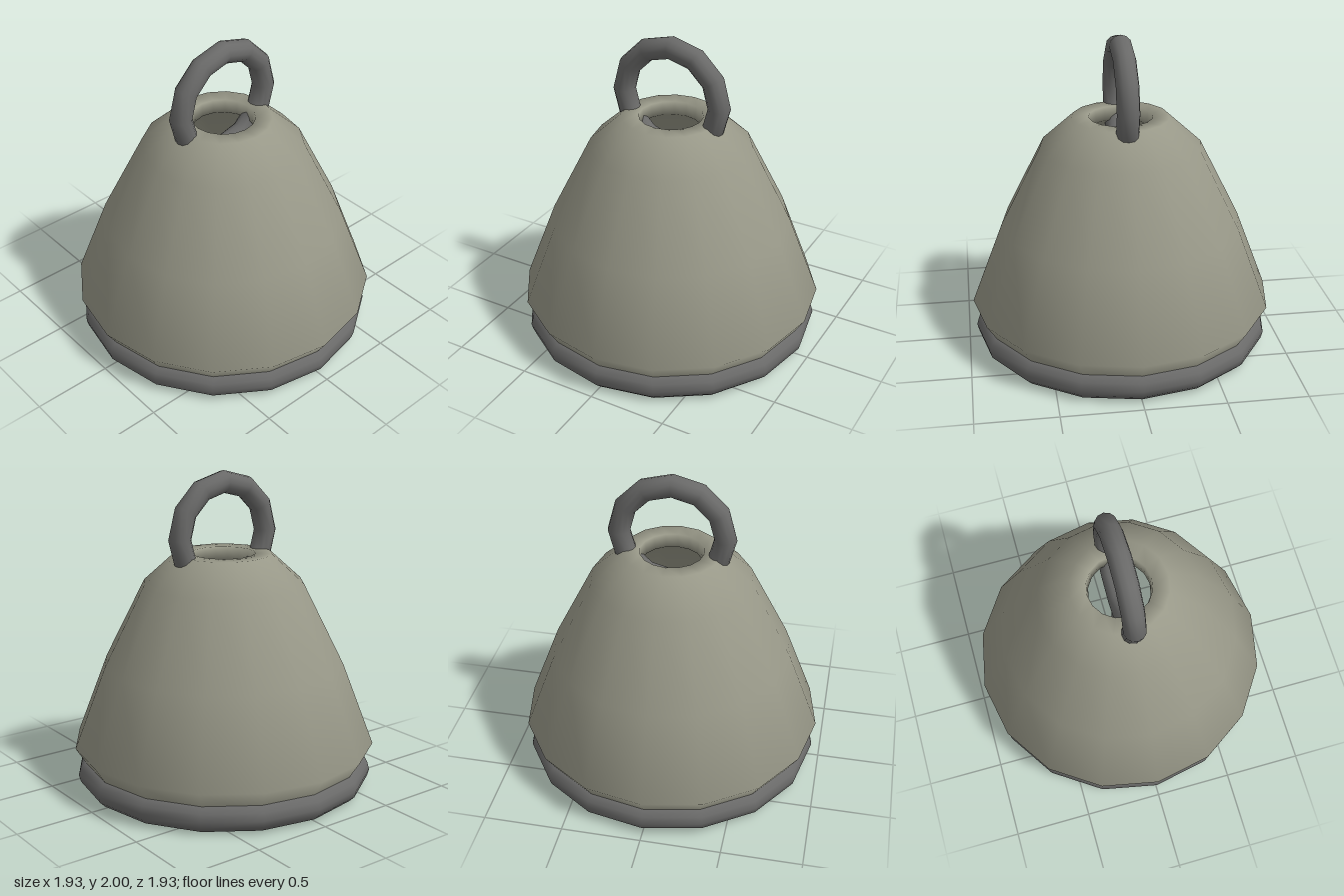
import * as THREE from 'three';
import { mergeVertices } from 'three/addons/utils/BufferGeometryUtils.js';

export function createModel() {
  const model = new THREE.Group();
  const shell = new THREE.MeshStandardMaterial({ color: 0x989888, side: THREE.DoubleSide });
  shell.name = 'pale metal';
  const dark = new THREE.MeshStandardMaterial({ color: 0x6a6a69, side: THREE.DoubleSide });
  dark.name = 'dark metal';

  const add = (name, geometry, material, y = 0) => {
    const mesh = new THREE.Mesh(geometry, material);
    mesh.name = name;
    mesh.position.y = y;
    model.add(mesh);
  };

  // Hollow bell body: up the outer wall, over the open crown, down the inner wall
  const profile = [
    [0.85, 0.09], [0.965, 0.27], [0.765, 0.79], [0.508, 1.3], [0.305, 1.485],
    [0.2, 1.485], [0.19, 1.4], [0.42, 1.24], [0.675, 0.75], [0.86, 0.27], [0.765, 0.11], [0.85, 0.09],
  ].map(([r, y]) => new THREE.Vector2(r, y));
  add('bellBody', new THREE.LatheGeometry(profile, 16), shell);

  // Heavy ring around the mouth
  const rim = new THREE.TorusGeometry(0.86, 0.09, 12, 16);
  rim.rotateX(Math.PI / 2);
  add('rim', rim, dark, 0.09);

  // Carrying ring passing down through the crown
  add('handle', new THREE.TorusGeometry(0.33, 0.07, 12, 12), dark, 1.6);

  // Clapper hanging from the carrying ring: rod and smooth-shaded faceted ball
  add('clapperRod', new THREE.CylinderGeometry(0.05, 0.05, 1.07, 8), dark, 0.735);
  const ball = new THREE.IcosahedronGeometry(0.215, 0);
  ball.deleteAttribute('normal');
  ball.deleteAttribute('uv');
  const smoothBall = mergeVertices(ball);
  smoothBall.computeVertexNormals();
  add('clapperBall', smoothBall, dark, 0.185);

  // Partial rib along the inner wall
  const rib = new THREE.TorusGeometry(0.78, 0.045, 8, 12, Math.PI);
  rib.rotateX(Math.PI / 2);
  rib.rotateY(-1.81);
  add('innerRib', rib, shell, 0.49);

  return model;
}
